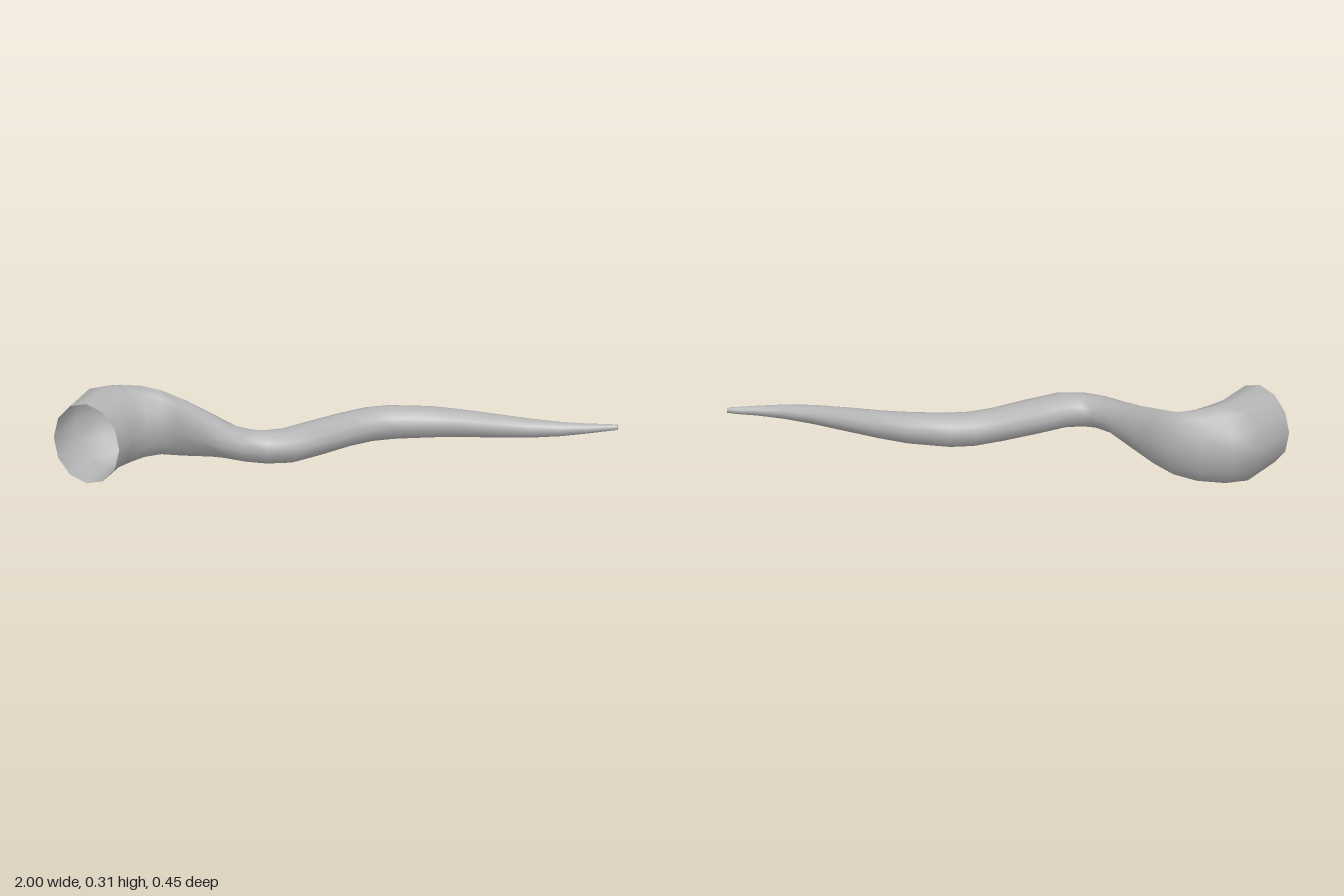
import * as THREE from 'three';

const SIDES = 12;
const MID_Y = 0.153;

// Cross-sections from mouth to tip: back edge x, z, front edge x, z, half height
const sections = [
  [-1.0, 0.0, -0.78, 0.155, 0.149],
  [-0.91, -0.175, -0.72, 0.015, 0.153],
  [-0.82, -0.22, -0.69, -0.02, 0.147],
  [-0.7, -0.228, -0.66, -0.046, 0.135],
  [-0.595, -0.197, -0.62, -0.05, 0.12],
  [-0.51, -0.115, -0.57, -0.02, 0.107],
  [-0.41, -0.015, -0.49, 0.065, 0.08],
  [-0.335, 0.06, -0.43, 0.14, 0.06],
  [-0.29, 0.092, -0.35, 0.195, 0.058],
  [-0.255, 0.1, -0.26, 0.222, 0.06],
  [-0.21, 0.09, -0.155, 0.215, 0.062],
  [-0.12, 0.025, -0.04, 0.14, 0.062],
  [0.0, -0.05, 0.07, 0.055, 0.061],
  [0.1, -0.105, 0.145, 0.015, 0.061],
  [0.19, -0.122, 0.215, 0.0, 0.061],
  [0.35, -0.11, 0.335, 0.005, 0.056],
  [0.46, -0.077, 0.43, 0.018, 0.05],
  [0.59, -0.03, 0.555, 0.05, 0.042],
  [0.7, 0.01, 0.68, 0.078, 0.034],
  [0.8, 0.037, 0.79, 0.086, 0.026],
  [0.89, 0.046, 0.89, 0.081, 0.018],
  [0.97, 0.047, 0.975, 0.07, 0.012],
  [1.0, 0.052, 0.995, 0.068, 0.01],
];

// Points of one oval ring
function ring([bx, bz, fx, fz, ry]) {
  const points = [];
  for (let j = 0; j < SIDES; j++) {
    const a = (j / SIDES) * Math.PI * 2;
    const c = Math.cos(a) / 2;
    points.push(
      (bx + fx) / 2 + c * (fx - bx),
      MID_Y + Math.sin(a) * ry,
      (bz + fz) / 2 + c * (fz - bz)
    );
  }
  return points;
}

function makeGeometry(positions, index) {
  const g = new THREE.BufferGeometry();
  g.setAttribute('position', new THREE.Float32BufferAttribute(positions, 3));
  g.setIndex(index);
  g.computeVertexNormals();
  return g;
}

export function createModel() {
  const group = new THREE.Group();
  group.name = 'curvedHorn';
  const grey = new THREE.MeshStandardMaterial({ color: 0xb4b4b4, side: THREE.DoubleSide });
  grey.name = 'grey';

  // Winding hollow body, open at the wide mouth
  const index = [];
  for (let i = 0; i < sections.length - 1; i++) {
    for (let j = 0; j < SIDES; j++) {
      const a = i * SIDES + j;
      const b = i * SIDES + ((j + 1) % SIDES);
      index.push(a, a + SIDES, b, b, a + SIDES, b + SIDES);
    }
  }
  const body = new THREE.Mesh(makeGeometry(sections.flatMap(ring), index), grey);
  body.name = 'hornBody';
  group.add(body);

  // Small flat cap on the tip
  const capIndex = [];
  for (let j = 1; j < SIDES - 1; j++) capIndex.push(0, j + 1, j);
  const cap = new THREE.Mesh(makeGeometry(ring(sections[sections.length - 1]), capIndex), grey);
  cap.name = 'tipCap';
  group.add(cap);

  return group;
}
